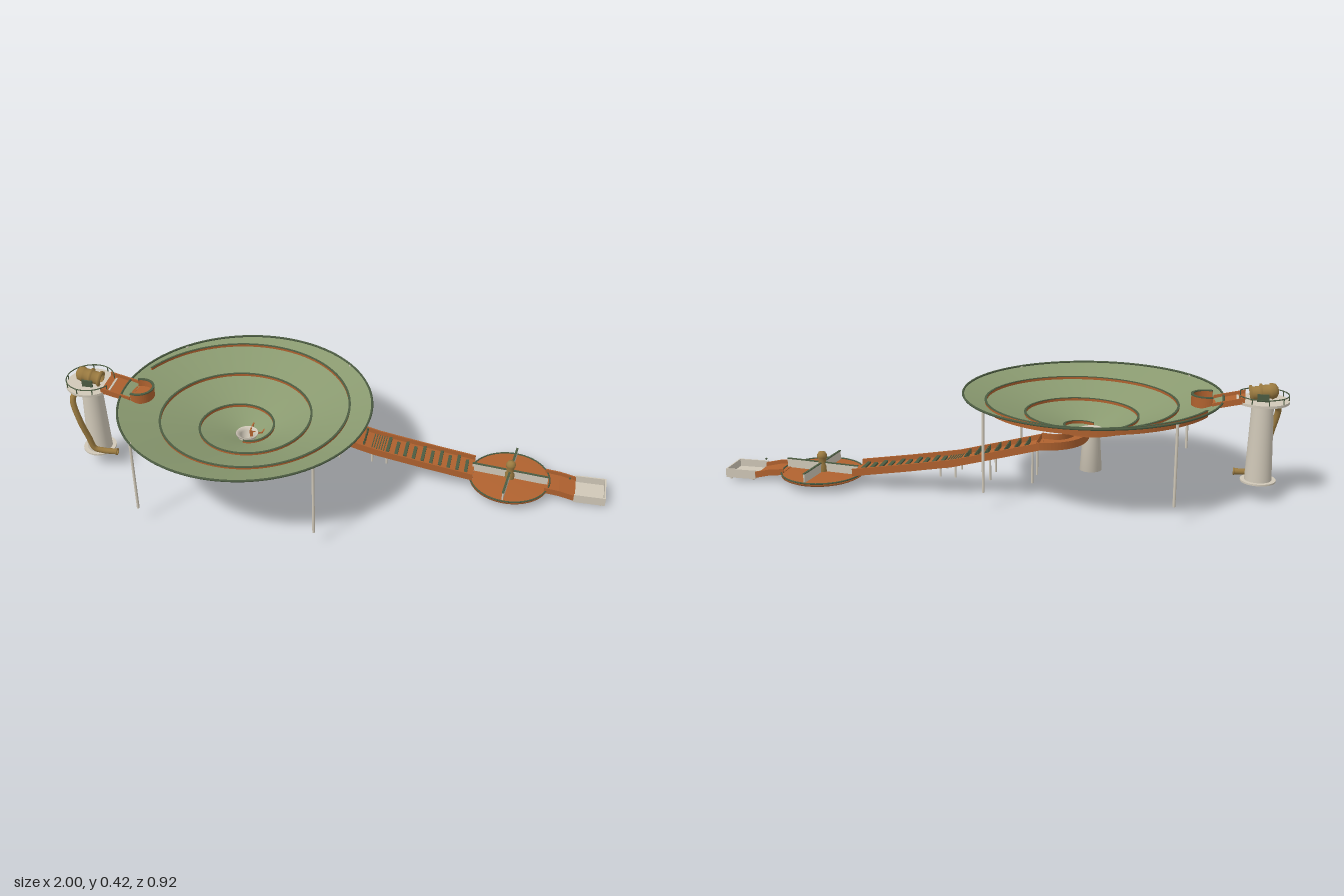
import * as THREE from 'three';

const paint = (color) => new THREE.MeshStandardMaterial({ color, side: THREE.DoubleSide });
const GREEN = paint(0x8a9a70), DARK = paint(0x4c5c42), RUST = paint(0xb0622f);
const CREAM = paint(0xd0c8b8), BRASS = paint(0x9a7a40);
const CX = -0.32; // funnel axis
const RZ = -0.16; // ramp centre line

export function createModel() {
  const model = new THREE.Group();
  const add = (name, geo, mat, x = 0, y = 0, z = 0, parent = model) => {
    const m = new THREE.Mesh(geo, mat);
    m.name = name;
    m.position.set(x, y, z);
    parent.add(m);
    return m;
  };
  const box = (name, mat, w, h, d, x, y, z, parent) => add(name, new THREE.BoxGeometry(w, h, d), mat, x, y, z, parent);
  const post = (name, mat, r, y0, y1, x, z, rTop = r, sides = 12) =>
    add(name, new THREE.CylinderGeometry(rTop, r, y1 - y0, sides), mat, x, (y0 + y1) / 2, z);
  const lathe = (pts, n = 64) => new THREE.LatheGeometry(pts.map((p) => new THREE.Vector2(...p)), n);

  // Joins equal cross-sections into a closed skin with end caps
  const sweep = (n, section) => {
    const pos = [], idx = [];
    let k = 0;
    for (let i = 0; i <= n; i++) {
      const ring = section(i / n);
      k = ring.length;
      ring.forEach((p) => pos.push(...p));
    }
    for (let i = 0; i < n; i++) for (let j = 0; j < k; j++) {
      const a = i * k + j, b = i * k + (j + 1) % k;
      idx.push(a, b, a + k, b, b + k, a + k);
    }
    for (let j = 1; j < k - 1; j++) idx.push(0, j + 1, j, n * k, n * k + j, n * k + j + 1);
    const g = new THREE.BufferGeometry();
    g.setAttribute('position', new THREE.Float32BufferAttribute(pos, 3));
    g.setIndex(idx);
    const flat = g.toNonIndexed();
    flat.computeVertexNormals();
    return flat;
  };

  // Slab following a side profile in x-y, from z0 to z1
  const slab = (name, mat, path, lo, hi, z0, z1) => {
    const s = new THREE.Shape();
    path.forEach(([x, y], i) => (i ? s.lineTo(x, y + hi) : s.moveTo(x, y + hi)));
    [...path].reverse().forEach(([x, y]) => s.lineTo(x, y + lo));
    s.closePath();
    add(name, new THREE.ExtrudeGeometry(s, { depth: z1 - z0, bevelEnabled: false }), mat, 0, 0, z0);
  };
  const trough = (name, path, zc, w, wall, under = RUST) => {
    slab(name + 'Floor', RUST, path, -0.004, 0, zc - w / 2, zc + w / 2);
    slab(name + 'Underside', under, path, -0.009, -0.004, zc - w / 2 + 0.004, zc + w / 2 - 0.004);
    for (const s of [-1, 1]) {
      const z = zc + s * (w / 2 - 0.003);
      slab(name + 'Wall', RUST, path, -0.009, wall, z - 0.003, z + 0.003);
    }
  };

  // Funnel bowl
  const coneY = (r) => 0.2 + 0.148 * Math.pow(Math.max(r - 0.035, 0) / 0.425, 0.92);
  const bowl = [];
  for (let i = 0; i <= 12; i++) bowl.push([0.035 + 0.425 * i / 12, coneY(0.035 + 0.425 * i / 12)]);
  add('funnelBowl', lathe(bowl, 96), GREEN, CX);
  add('funnelRim', new THREE.TorusGeometry(0.458, 0.004, 6, 96).rotateX(Math.PI / 2), DARK, CX, 0.35);

  // Spiral guide: rail above the bowl, wide band beneath it
  const spiral = (t, r, y) => [CX - r * Math.cos(t), y, -r * Math.sin(t)];
  const turn = (u) => [0.35 + u * (Math.PI * 5.5 - 0.35), 0];
  const radius = (t) => 0.445 - 0.14 * t / (2 * Math.PI);
  add('spiralRail', sweep(260, (u) => {
    const t = turn(u)[0], r = radius(t), y = coneY(r);
    return [[r, 0.007], [r, -0.014], [r - 0.006, -0.014], [r - 0.006, 0.007]].map(([q, d]) => spiral(t, q, y + d));
  }), RUST);
  add('spiralRailCap', sweep(260, (u) => {
    const t = turn(u)[0], r = radius(t), y = coneY(r) + 0.007;
    return [[r + 0.001, 0.002], [r + 0.001, 0], [r - 0.007, 0], [r - 0.007, 0.002]].map(([q, d]) => spiral(t, q, y + d));
  }), DARK);
  add('spiralBand', sweep(260, (u) => {
    const t = turn(u)[0], r = radius(t), q = Math.max(r - 0.11, 0.04);
    return [[r, -0.004], [r, -0.016], [q, -0.008], [q, -0.004]].map(([p, d]) => spiral(t, p, coneY(p) + d));
  }), RUST);

  // Funnel supports
  for (const sx of [-1, 1]) for (const sz of [-1, 1]) post('funnelLeg', CREAM, 0.005, 0.062, 0.35, CX + sx * 0.322, sz * 0.322);
  add('funnelPillar', lathe([[0, 0.062], [0.04, 0.062], [0.03, 0.205], [0.042, 0.212], [0.04, 0.215], [0.024, 0.206], [0.022, 0.16], [0, 0.16]], 32), CREAM, CX);

  // Tower with platform, railing and barrel
  const TX = -0.91;
  post('towerBase', CREAM, 0.062, 0.062, 0.068, TX, 0, 0.062, 32);
  post('towerColumn', CREAM, 0.047, 0.068, 0.35, TX, 0, 0.037, 32);
  post('towerPlatform', CREAM, 0.09, 0.348, 0.357, TX, 0, 0.09, 40);
  add('platformRail', new THREE.TorusGeometry(0.087, 0.002, 6, 40, Math.PI * 1.7).rotateX(Math.PI / 2).rotateY(-Math.PI * 0.15), DARK, TX, 0.376);
  for (let i = 0; i < 9; i++) {
    const a = Math.PI * (0.15 + 1.7 * i / 8);
    post('railPost', DARK, 0.002, 0.355, 0.377, TX + 0.087 * Math.cos(a), 0.087 * Math.sin(a), 0.002, 6);
  }
  const barrel = add('barrel', lathe([[0, -0.052], [0.012, -0.05], [0.024, -0.042], [0.029, -0.025], [0.024, -0.022], [0.025, 0], [0.031, 0.002], [0.031, 0.01], [0.024, 0.012], [0.024, 0.034], [0.03, 0.036], [0.03, 0.046], [0.019, 0.046], [0.017, -0.02], [0, -0.02]], 28), BRASS, TX, 0.383);
  barrel.rotation.z = -Math.PI / 2 - 0.2;
  for (const z of [-0.032, 0.032]) box('barrelCradle', DARK, 0.04, 0.026, 0.006, TX, 0.37, z);

  // Return tube winding down the tower
  const tubePath = new THREE.CatmullRomCurve3([[-0.955, 0.335, 0.03], [-0.965, 0.31, 0.055], [-0.945, 0.22, 0.065], [-0.925, 0.14, 0.055], [-0.91, 0.09, 0.05], [-0.88, 0.079, 0.045], [-0.825, 0.077, 0.04]].map((p) => new THREE.Vector3(...p)));
  add('returnTube', new THREE.TubeGeometry(tubePath, 48, 0.011, 14), BRASS);
  add('tubeMouth', new THREE.TorusGeometry(0.011, 0.003, 8, 20).rotateY(Math.PI / 2), BRASS, -0.826, 0.077, 0.04);

  // Inlet chute and curved entry scoop
  trough('inlet', [[-0.85, 0.362], [-0.79, 0.348], [-0.74, 0.336]], 0, 0.115, 0.012);
  slab('inletMat', CREAM, [[-0.826, 0.358], [-0.82, 0.3565]], 0, 0.002, -0.04, 0.04);
  const arc = (r, a, y) => [-0.72 + r * Math.cos(a), y, 0.005 + r * Math.sin(a)];
  add('entryScoopFloor', new THREE.CylinderGeometry(0.05, 0.035, 0.012, 32), RUST, -0.72, 0.329, 0.005);
  add('entryScoopWall', sweep(32, (u) => {
    const a = -2.0 + u * 3.9;
    return [arc(0.054, a, 0.325), arc(0.054, a, 0.362), arc(0.049, a, 0.362), arc(0.049, a, 0.325)];
  }), RUST);
  add('entryScoopLip', sweep(32, (u) => {
    const a = -2.0 + u * 3.9;
    return [arc(0.056, a, 0.362), arc(0.056, a, 0.366), arc(0.047, a, 0.366), arc(0.047, a, 0.362)];
  }), DARK);

  // Channel from the funnel pillar to the ramp head
  const bend = new THREE.QuadraticBezierCurve(new THREE.Vector2(CX + 0.03, -0.015), new THREE.Vector2(-0.28, RZ), new THREE.Vector2(-0.16, RZ));
  add('outletChannel', sweep(24, (u) => {
    const p = bend.getPoint(u), d = bend.getTangent(u), w = 0.025 + 0.035 * u;
    const y = 0.193 + 0.006 * u;
    return [[-w, 0.02], [-w, -0.008], [w, -0.008], [w, 0.02], [w - 0.005, 0.02], [w - 0.005, 0], [-w + 0.005, 0], [-w + 0.005, 0.02]]
      .map(([s, h]) => [p.x - d.y * s, y + h, p.y + d.x * s]);
  }), RUST);

  // Ramp
  const ramp = [[-0.17, 0.2], [0.0, 0.154], [0.14, 0.117], [0.32, 0.086], [0.51, 0.056]];
  const rampY = (x) => {
    let i = 0;
    while (i < ramp.length - 2 && x > ramp[i + 1][0]) i++;
    const [a, b] = [ramp[i], ramp[i + 1]];
    return a[1] + (b[1] - a[1]) * (x - a[0]) / (b[0] - a[0]);
  };
  trough('ramp', ramp, RZ, 0.122, 0.018, CREAM);
  for (let i = 0; i < 7; i++) for (let j = 0; j < 6; j++) {
    const x = -0.12 + i * 0.036, y = rampY(x);
    post('rampPeg', DARK, 0.003, y, y + 0.02, x, RZ - 0.042 + j * 0.0168 + (i % 2 ? 0.004 : -0.004), 0.003, 8);
  }
  for (let i = 0; i < 10; i++) {
    const x = 0.185 + i * 0.033;
    box('rampRib', DARK, 0.012, 0.008, 0.088, x, rampY(x) + 0.004, RZ + (i % 2 ? 0.008 : -0.008));
  }
  for (let i = 0; i < 6; i++) box('rampGroove', DARK, 0.003, 0.003, 0.11, 0.125 + i * 0.009, rampY(0.125 + i * 0.009) + 0.001, RZ);
  for (const x of [-0.145, 0.005, 0.13, 0.185]) for (const s of [-1, 1]) post('rampLeg', CREAM, 0.004, 0.066, rampY(x) - 0.006, x, RZ + s * 0.045);

  // Paddle wheel
  const wheel = new THREE.Group();
  wheel.name = 'paddleWheel';
  wheel.position.set(0.645, 0, RZ);
  wheel.rotation.y = -0.11;
  model.add(wheel);
  add('wheelDisc', lathe([[0, 0.025], [0.14, 0.025], [0.15, 0.03], [0.15, 0.038], [0, 0.038]]), RUST, 0, 0, 0, wheel);
  add('wheelEdge', new THREE.TorusGeometry(0.149, 0.003, 6, 64).rotateX(Math.PI / 2), DARK, 0, 0.039, 0, wheel);
  for (let i = 0; i < 4; i++) {
    const arm = new THREE.Group();
    arm.name = 'paddle';
    arm.rotation.y = i * Math.PI / 2;
    wheel.add(arm);
    box('paddleBoard', CREAM, 0.13, 0.032, 0.005, 0.077, 0.054, 0, arm);
    box('paddleCap', DARK, 0.132, 0.003, 0.008, 0.077, 0.0715, 0, arm);
  }
  add('wheelPost', lathe([[0.018, 0.038], [0.018, 0.06], [0.014, 0.064], [0.014, 0.085], [0.018, 0.09], [0.018, 0.1], [0.012, 0.11], [0, 0.114]], 24), BRASS, 0, 0, 0, wheel);

  // Exit chute and collecting tray
  trough('exit', [[0.775, 0.04], [0.83, 0.034], [0.89, 0.02]], RZ, 0.118, 0.014);
  box('trayFloor', CREAM, 0.115, 0.006, 0.12, 0.9425, 0.01, RZ);
  for (const s of [-1, 1]) box('traySide', CREAM, 0.115, 0.033, 0.005, 0.9425, 0.0235, RZ + s * 0.0575);
  box('trayEnd', CREAM, 0.005, 0.033, 0.12, 0.9975, 0.0235, RZ);
  box('trayLip', CREAM, 0.005, 0.008, 0.12, 0.8875, 0.011, RZ);
  for (const x of [0.9, 0.985]) for (const s of [-1, 1]) post('trayFoot', CREAM, 0.005, 0, 0.008, x, RZ + s * 0.048);
  add('marble', new THREE.SphereGeometry(0.004, 12, 8), DARK, 0.865, 0.068, RZ);
  return model;
}
